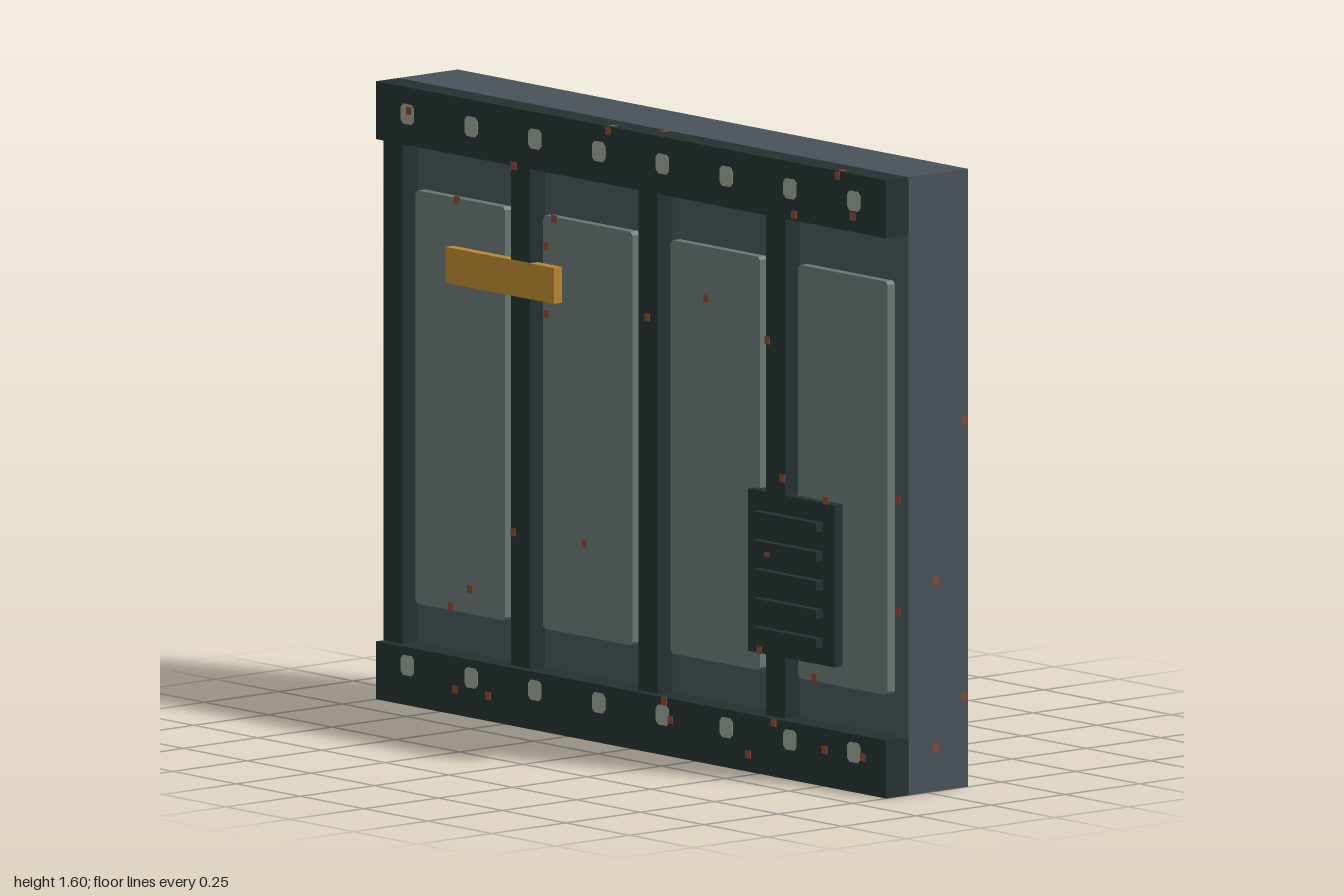
import * as THREE from 'three';

const mat = (name, color) => {
  const m = new THREE.MeshStandardMaterial({ color });
  m.name = name;
  return m;
};

export function createModel() {
  const slate = mat('slate', 0x485258);
  const dark = mat('dark iron', 0x243030);
  const pale = mat('pale panel', 0x677673);
  const amber = mat('amber', 0xb8862f);
  const steel = mat('bolt steel', 0x969e92);
  const rust = mat('rust', 0x854830);

  const model = new THREE.Group();
  model.name = 'wallPanel';
  const FACE = 0.0625, RIB = 0.1125, RAIL = 0.1375;

  const add = (name, geometry, material) => {
    const mesh = new THREE.Mesh(geometry, material);
    mesh.name = name;
    model.add(mesh);
    return mesh;
  };

  // Box given by its limits on each axis
  const box = (name, material, x0, x1, y0, y1, z0, z1) =>
    add(name, new THREE.BoxGeometry(x1 - x0, y1 - y0, z1 - z0), material)
      .position.set((x0 + x1) / 2, (y0 + y1) / 2, (z0 + z1) / 2);

  // Plate with clipped corners, facing forward
  const plate = (name, material, x, y, w, h, z0, z1, cut) => {
    const a = w / 2, b = h / 2;
    const shape = new THREE.Shape([
      [-a + cut, -b], [a - cut, -b], [a, -b + cut], [a, b - cut],
      [a - cut, b], [-a + cut, b], [-a, b - cut], [-a, -b + cut],
    ].map(p => new THREE.Vector2(...p)));
    const g = new THREE.ExtrudeGeometry(shape, { depth: z1 - z0, bevelEnabled: false });
    add(name, g, material).position.set(x, y, z0);
  };

  // Wall slab with top and bottom rails
  box('slab', slate, -1, 1, 0, 1.6, -RAIL, FACE);
  box('bottomRail', dark, -1, 1, 0, 0.15, FACE, RAIL);
  box('topRail', dark, -1, 1, 1.45, 1.6, FACE, RAIL);

  // Four bays, each a rib and a raised panel
  for (let i = 0; i < 4; i++) {
    const x = -1 + i * 0.5;
    box('rib', dark, x, x + 0.075, 0.15, 1.45, FACE, RIB);
    plate('raisedPanel', pale, x + 0.272, 0.79, 0.35, 1.07, FACE, 0.0875, 0.008);
  }

  // Bolts along both rails
  for (let i = 0; i < 8; i++)
    for (const y of [0.103, 1.53])
      plate('bolt', steel, -0.877 + i * 0.25, y, 0.052, 0.052, RAIL - 0.004, RAIL + 0.001, 0.01);

  // Amber marker bar
  box('markerBar', amber, -0.755, -0.33, 1.107, 1.2, 0.0875, RIB + 0.002);

  // Vent box with slats
  box('ventBox', dark, 0.43, 0.77, 0.307, 0.727, FACE, RIB + 0.001);
  for (let i = 0; i < 5; i++) {
    const y = 0.365 + i * 0.075;
    box('ventSlat', dark, 0.475, 0.725, y - 0.012, y + 0.012, RIB, RAIL);
  }

  // Rust specks: depth follows whichever part lies beneath
  const depthAt = (x, y) => {
    if (y < 0.155 || y > 1.445) return RAIL + 0.001;
    if (x > 0.43 && x < 0.77 && y > 0.3 && y < 0.74) return RIB + 0.001;
    const u = (x + 1) % 0.5;
    if (u < 0.08) return RIB;
    return u > 0.095 && u < 0.45 && y > 0.25 && y < 1.33 ? 0.0875 : FACE;
  };
  const S = 0.02, T = 0.003;
  const speck = (x, y, z, w, h, d) =>
    add('rustSpeck', new THREE.BoxGeometry(w, h, d), rust).position.set(x, y, z);
  const front = [
    [-0.87, 1.54], [-0.09, 1.588], [0.81, 1.588], [-0.46, 1.45], [0.64, 1.465],
    [0.87, 1.49], [-0.74, 1.32], [-0.36, 1.32], [-0.39, 1.245], [-0.39, 1.07],
    [0.035, 1.12], [0.235, 1.19], [0.505, 1.12], [0.565, 0.77], [0.735, 0.735],
    [0.96, 0.76], [0.505, 0.57], [-0.49, 0.495], [-0.24, 0.495], [-0.91, 0.91],
    [-0.91, 0.42], [0.96, 0.47], [-0.69, 0.32], [-0.765, 0.265], [0.475, 0.315],
    [0.66, 0.265], [0.56, 0.14], [0.13, 0.14], [0.155, 0.095], [-0.69, 0.065],
    [-0.56, 0.065], [0.46, 0.045], [0.76, 0.095], [0.91, 0.095],
  ];
  for (const [x, y] of front) speck(x, y, depthAt(x, y), S, S, T);
  for (const [x, z] of [[-0.67, 0.05], [0.06, 0.075], [-0.09, 0.12], [0.81, 0.12]])
    speck(x, 1.599, z, S, T, S);
  for (const [y, z] of [[0.545, -0.03], [0.115, -0.03], [0.235, -0.126], [0.95, -0.126]])
    speck(0.999, y, z, T, S, S);

  return model;
}
